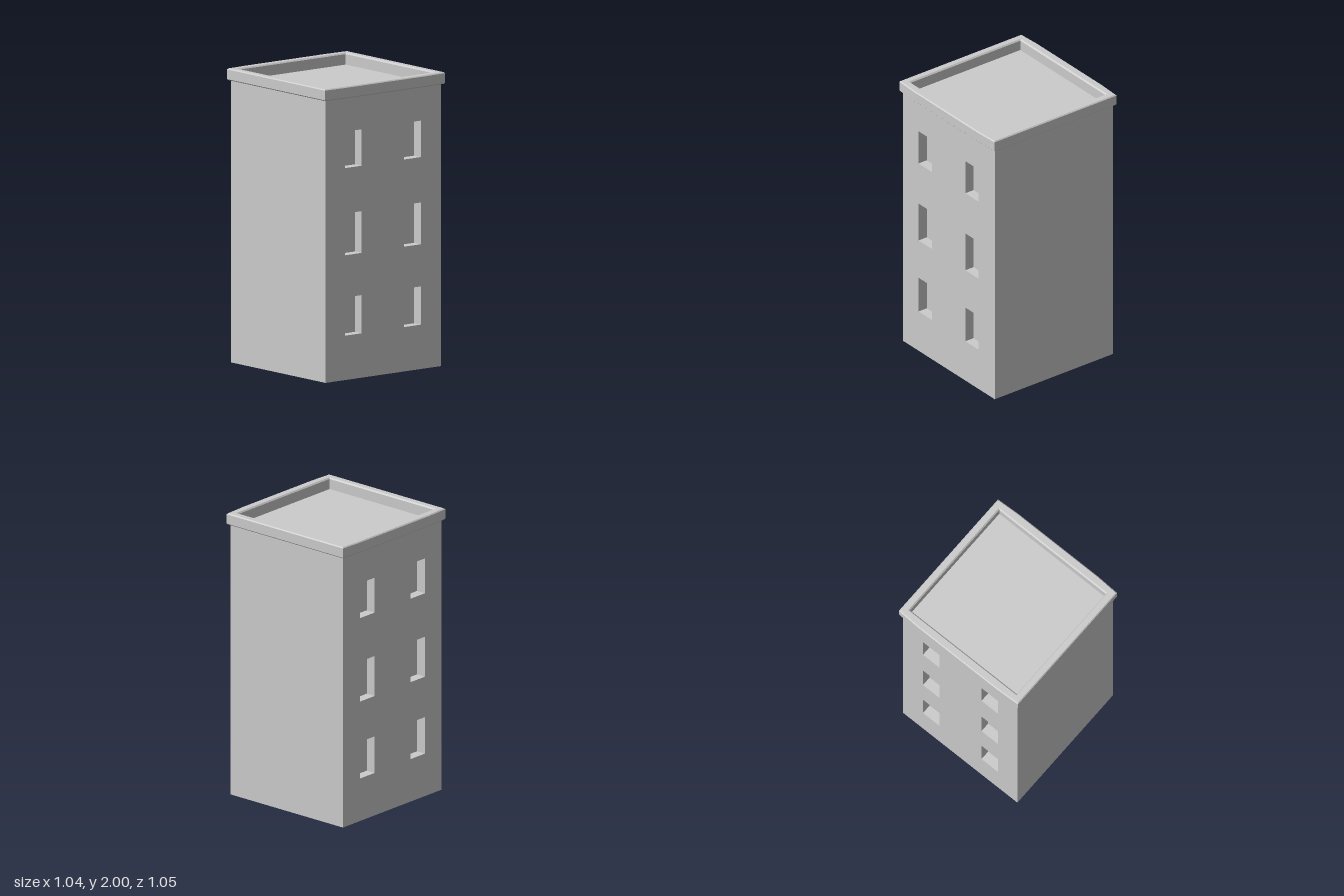
import * as THREE from 'three';

const material = new THREE.MeshStandardMaterial({ color: 0xcccccc, flatShading: true });
const WALL_TOP = 1.92, HALF = 0.5, RECESS = 0.07, WIN_W = 0.146;
const COLUMNS = [-0.26, 0.251];
const ROWS = [[0.302, 0.562], [0.849, 1.133], [1.442, 1.69]]; // sill and head heights

// Flat panel, turned about x then y, then placed
function panel(name, w, h, x, y, z, rx = 0, ry = 0) {
  const mesh = new THREE.Mesh(new THREE.PlaneGeometry(w, h), material);
  mesh.name = name;
  mesh.rotation.set(rx, ry, 0);
  mesh.position.set(x, y, z);
  return mesh;
}

// Pane, jambs, sill and head of one recessed window
function windowRecess(cx, y0, y1) {
  const g = new THREE.Group();
  g.name = 'windowRecess';
  const h = y1 - y0, cy = (y0 + y1) / 2, zMid = HALF - RECESS / 2, q = Math.PI / 2;
  g.add(
    panel('windowPane', WIN_W, h, cx, cy, HALF - RECESS),
    panel('leftJamb', RECESS, h, cx + WIN_W / 2, cy, zMid, 0, -q),
    panel('rightJamb', RECESS, h, cx - WIN_W / 2, cy, zMid, 0, q),
    panel('sill', WIN_W, RECESS, cx, y0, zMid, -q),
    panel('head', WIN_W, RECESS, cx, y1, zMid, q)
  );
  return g;
}

// Wall pierced by a grid of windows
function facade(name, columns) {
  const g = new THREE.Group();
  g.name = name;
  const rect = (T, x0, y0, x1, y1) => new T([[x0, y0], [x1, y0], [x1, y1], [x0, y1]].map(p => new THREE.Vector2(...p)));
  const wall = rect(THREE.Shape, -HALF, 0, HALF, WALL_TOP);
  for (const cx of columns) {
    for (const [y0, y1] of ROWS) {
      wall.holes.push(rect(THREE.Path, cx - WIN_W / 2, y0, cx + WIN_W / 2, y1));
      g.add(windowRecess(cx, y0, y1));
    }
  }
  const mesh = new THREE.Mesh(new THREE.ShapeGeometry(wall), material);
  mesh.name = 'wall';
  mesh.position.z = HALF;
  g.add(mesh);
  return g;
}

// Bevelled parapet, slightly bowed out along front and back
function parapet() {
  // Section around the rim: y, half width, half depth at corners, half depth at middle
  const section = [
    [WALL_TOP, 0.513, 0.511, 0.519],
    [1.927, 0.52, 0.518, 0.526],
    [1.993, 0.52, 0.518, 0.526],
    [2, 0.513, 0.511, 0.519],
    [2, 0.474, 0.474, 0.474],
    [1.991, 0.465, 0.465, 0.465],
    [WALL_TOP, 0.465, 0.465, 0.465]
  ];
  const positions = [], index = [], n = 8, bend = 0.35;
  section.forEach(([y, x, zc, zm], l) => {
    const ring = [[x, zc], [x, -zc], [bend, -zm], [-bend, -zm], [-x, -zc], [-x, zc], [-bend, zm], [bend, zm]];
    const next = (l + 1) % section.length;
    ring.forEach(([px, pz], i) => {
      positions.push(px, y, pz);
      const j = (i + 1) % n;
      const a = l * n + i, b = l * n + j, c = next * n + j, d = next * n + i;
      index.push(a, b, c, a, c, d);
    });
  });
  let geo = new THREE.BufferGeometry();
  geo.setAttribute('position', new THREE.Float32BufferAttribute(positions, 3));
  geo.setIndex(index);
  geo = geo.toNonIndexed();
  geo.computeVertexNormals();
  const mesh = new THREE.Mesh(geo, material);
  mesh.name = 'parapet';
  return mesh;
}

export function createModel() {
  const model = new THREE.Group();
  model.name = 'towerBlock';
  const q = Math.PI / 2;

  // Front and back walls, with window columns lined up through the building
  const back = facade('backFacade', COLUMNS.map(x => -x));
  back.rotation.y = Math.PI;
  model.add(facade('frontFacade', COLUMNS), back);

  // Blank side walls, roof and base
  model.add(
    panel('leftWall', 1, WALL_TOP, HALF, WALL_TOP / 2, 0, 0, q),
    panel('rightWall', 1, WALL_TOP, -HALF, WALL_TOP / 2, 0, 0, -q),
    panel('roof', 1, 1, 0, WALL_TOP, 0, -q),
    panel('base', 1, 1, 0, 0, 0, q)
  );

  model.add(parapet());
  return model;
}
